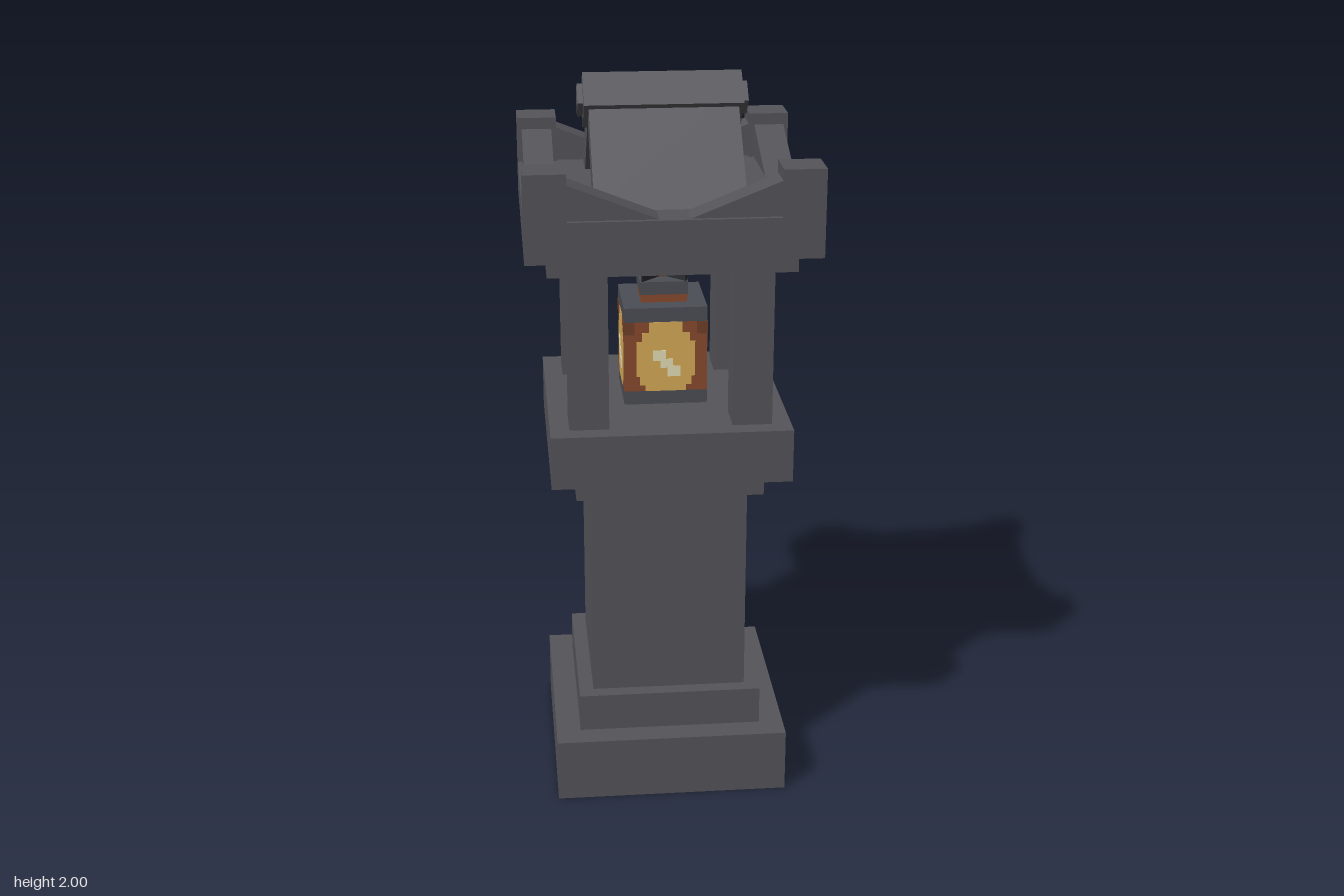
import * as THREE from 'three';

const mat = (name, color) => {
  const m = new THREE.MeshStandardMaterial({ color });
  m.name = name;
  return m;
};

export function createModel() {
  const stone = mat('stone', 0x555459);
  const iron = mat('iron', 0x4c4e55);
  const darkIron = mat('darkIron', 0x2c2d32);
  const copper = mat('copper', 0x8a4a2e);
  const rust = mat('rust', 0x70402a);
  const amber = mat('amber', 0xd6ab57);
  const flame = mat('flame', 0xe6dfb8);

  const model = new THREE.Group();
  model.name = 'stoneLantern';

  const add = (parent, name, geo, material, x = 0, y = 0, z = 0) => {
    const mesh = new THREE.Mesh(geo, material);
    mesh.name = name;
    mesh.position.set(x, y, z);
    parent.add(mesh);
    return mesh;
  };
  // Square block of half width h between heights y0 and y1
  const block = (parent, name, h, y0, y1, material, x = 0, z = 0) =>
    add(parent, name, new THREE.BoxGeometry(2 * h, y1 - y0, 2 * h), material, x, (y0 + y1) / 2, z);
  // Profile in x and y, extruded along z from z0 to z1
  const prism = (points, z0, z1) => {
    const shape = new THREE.Shape(points.map(p => new THREE.Vector2(...p)));
    return new THREE.ExtrudeGeometry(shape, { depth: z1 - z0, bevelEnabled: false }).translate(0, 0, z0);
  };

  // Stepped pedestal, lamp platform and roof slab
  [
    ['base', 0.323, 0, 0.18],
    ['baseStep', 0.255, 0.18, 0.288],
    ['column', 0.215, 0.288, 0.89],
    ['columnCap', 0.255, 0.89, 0.955],
    ['platform', 0.323, 0.955, 1.102],
    ['roofPlate', 0.323, 1.54, 1.592],
    ['roofSlab', 0.38, 1.592, 1.7],
  ].forEach(([name, h, y0, y1]) => block(model, name, h, y0, y1, stone));

  // Four pillars and four raised roof corners
  for (const sx of [-1, 1]) for (const sz of [-1, 1]) {
    block(model, 'pillar', 0.053, 1.102, 1.54, stone, sx * 0.218, sz * 0.218);
    block(model, 'roofCorner', 0.0545, 1.7, 1.823, stone, sx * 0.3255, sz * 0.3255);
  }

  // Sloping eaves that run from each corner to the middle of each side
  for (let i = 0; i < 4; i++) {
    const side = new THREE.Group();
    side.name = 'eaves';
    side.rotation.y = i * Math.PI / 2;
    add(side, 'eaveRight', prism([[0.04, 1.7], [0.272, 1.7], [0.272, 1.792]], 0.285, 0.367), stone);
    add(side, 'eaveLeft', prism([[-0.04, 1.7], [-0.272, 1.792], [-0.272, 1.7]], 0.285, 0.367), stone);
    model.add(side);
  }

  // Gable: two sloping slabs over a recessed infill, with the ridge along x
  const gable = new THREE.Group();
  gable.name = 'gable';
  gable.rotation.y = Math.PI / 2;
  add(gable, 'gableSlabs', prism(
    [[0.279, 1.697], [0, 1.976], [-0.279, 1.697], [-0.175, 1.697], [0, 1.872], [0.175, 1.697]],
    -0.197, 0.197), stone);
  add(gable, 'gableInfill', prism([[0.18, 1.697], [0, 1.877], [-0.18, 1.697]], -0.17, 0.17), stone);
  model.add(gable);

  // Ridge beam and its protruding core, both set on edge
  const beam = (name, length, halfDiagonal) => {
    const s = halfDiagonal * Math.SQRT2;
    add(model, name, new THREE.BoxGeometry(length, s, s), stone, 0, 1.927, 0).rotation.x = Math.PI / 4;
  };
  beam('ridgeBeam', 0.42, 0.073);
  beam('ridgeCore', 0.45, 0.044);

  // Hanging lamp
  const lamp = new THREE.Group();
  lamp.name = 'lamp';
  model.add(lamp);
  block(lamp, 'lampBottom', 0.113, 1.11, 1.148, iron);
  block(lamp, 'lampBody', 0.113, 1.148, 1.345, copper);
  block(lamp, 'lampTop', 0.113, 1.345, 1.385, iron);
  block(lamp, 'lampNeck', 0.063, 1.385, 1.407, copper);
  block(lamp, 'lampCap', 0.065, 1.407, 1.443, iron);

  // Crossed hanger plates with a small copper core
  for (const a of [1, -1]) {
    add(lamp, 'hanger', new THREE.BoxGeometry(0.17, 0.07, 0.006), darkIron, 0, 1.477, 0)
      .rotation.y = a * Math.PI / 4;
  }
  block(lamp, 'hangerCore', 0.015, 1.443, 1.488, rust);

  // Glowing panes, stepped in rows: [x0, x1, y0, y1]
  const glow = [
    [-0.055, 0.055, 1.148, 1.165], [-0.07, 0.07, 1.165, 1.19], [-0.08, 0.08, 1.19, 1.29],
    [-0.065, 0.065, 1.29, 1.315], [-0.045, 0.045, 1.315, 1.345],
  ];
  const spots = [[-0.035, 0, 1.235, 1.265], [-0.015, 0.02, 1.215, 1.24], [0.005, 0.04, 1.19, 1.22]];
  const shade = [[-0.113, -0.085, 1.31, 1.345], [0.085, 0.113, 1.31, 1.345]];
  for (let i = 0; i < 4; i++) {
    const pane = new THREE.Group();
    pane.name = 'pane';
    pane.rotation.y = i * Math.PI / 2;
    const plates = (name, rows, material, z) => rows.forEach(([x0, x1, y0, y1]) =>
      add(pane, name, new THREE.BoxGeometry(x1 - x0, y1 - y0, 0.004), material, (x0 + x1) / 2, (y0 + y1) / 2, z));
    plates('glow', glow, amber, 0.1125);
    plates('flameSpot', spots, flame, 0.1145);
    plates('paneCorner', shade, rust, 0.1125);
    lamp.add(pane);
  }

  return model;
}
